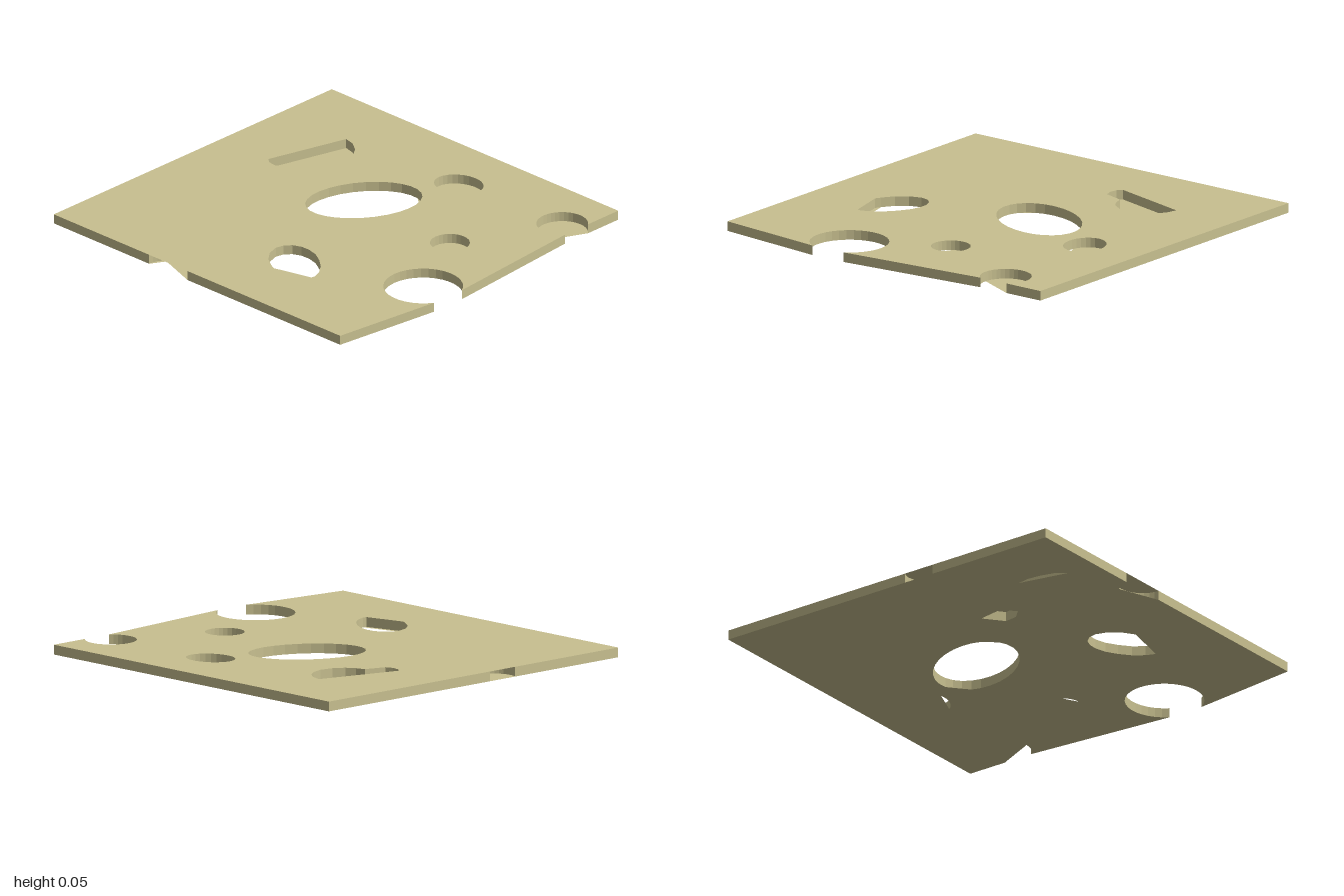
import * as THREE from 'three';

const H = 0.05; // slab thickness
const rad = THREE.MathUtils.degToRad;
const points = list => list.map(([x, z]) => new THREE.Vector2(x, z));

// Arc of a tilted ellipse in the x/z plane, angles in degrees
function arc(cx, cz, a, b, tilt, from, to, n = 28) {
  const c = Math.cos(rad(tilt)), s = Math.sin(rad(tilt));
  return Array.from({ length: n + 1 }, (_, i) => {
    const t = rad(from + (to - from) * i / n);
    const u = a * Math.cos(t), v = b * Math.sin(t);
    return new THREE.Vector2(cx + u * c - v * s, cz + u * s + v * c);
  });
}
const ring = (cx, cz, a, b, tilt) => arc(cx, cz, a, b, tilt, 0, 360).slice(0, -1);

// Flat sheet at height y with holes
function sheet(outline, holes, y) {
  const shape = new THREE.Shape(outline);
  shape.holes = holes.map(h => new THREE.Path(h));
  return new THREE.ShapeGeometry(shape).rotateX(Math.PI / 2).translate(0, y, 0);
}

// Upright wall following a closed outline
function wall(outline) {
  const pos = [];
  outline.forEach((p, i) => {
    const q = outline[(i + 1) % outline.length];
    pos.push(p.x, 0, p.y, p.x, H, p.y, q.x, H, q.y, p.x, 0, p.y, q.x, H, q.y, q.x, 0, q.y);
  });
  const g = new THREE.BufferGeometry();
  g.setAttribute('position', new THREE.Float32BufferAttribute(pos, 3));
  g.computeVertexNormals();
  return g;
}

export function createModel() {
  const group = new THREE.Group();
  group.name = 'cheeseSlice';
  const material = new THREE.MeshStandardMaterial({ color: 0xc8c090, side: THREE.DoubleSide });
  const add = (name, geometry) => {
    const mesh = new THREE.Mesh(geometry, material);
    mesh.name = name;
    group.add(mesh);
  };

  // Bites in the edges
  const backBite = arc(0.9, -0.7, 0.13, 0.13, 0, -39.7, -320.3);
  const sideBite = arc(0.9, 0.3, 0.2, 0.2, 0, -30, -330);
  const frontBite = arc(-0.2, 1, 0.134, 0.134, 0, 0, -180, 16);
  const leftBite = arc(-0.95, 0.2, 0.1, 0.1, 0, 120, -120, 18);
  const backBiteFloor = [backBite[0], ...arc(0.9, -0.7, 0.13, 0.13, 0, -270, -320.3, 6)];
  const frontBiteFloor = points([[-0.066, 1], [-0.29, 0.92], [-0.334, 1]]);
  const outline = (back, front = [], left = []) => [
    ...points([[-1, -1], [1, -1]]), ...back, ...sideBite,
    ...points([[1, 1]]), ...front, ...points([[-1, 1]]), ...left,
  ];

  // Holes open at the top
  const largeHole = ring(0, -0.2, 0.3, 0.2, -60);
  const roundHole = ring(0.215, -0.662, 0.13, 0.105, -15);
  const smallHole = ring(0.65, -0.15, 0.1, 0.1, 0);
  const frontHole = points([
    [0.22, 0.675], [0.19, 0.66], [0.13, 0.62], [0.085, 0.565], [0.065, 0.5], [0.075, 0.455],
    [0.105, 0.42], [0.15, 0.402], [0.2, 0.4], [0.26, 0.415], [0.32, 0.45], [0.375, 0.495],
    [0.415, 0.55], [0.434, 0.6], [0.43, 0.62],
  ]);
  const pocket = points([
    [-0.55, -0.64], [-0.49, -0.625], [-0.435, -0.585], [-0.4, -0.535], [-0.383, -0.47],
    [-0.395, -0.4], [-0.43, -0.345], [-0.475, -0.315], [-0.525, -0.3], [-0.56, -0.19],
    [-0.6, -0.175], [-0.645, -0.182], [-0.67, -0.205],
  ]);
  const topHoles = [largeHole, roundHole, smallHole, frontHole, pocket];

  // Cavities open only underneath
  const cavities = [
    points([[-0.595, 0.835], [-0.635, 0.78], [-0.655, 0.7], [-0.662, 0.63], [-0.65, 0.565]]),
    points([[-0.33, 0.24], [-0.34, 0.31], [-0.39, 0.36], [-0.454, 0.29], [-0.43, 0.16]]),
  ];

  // Underside openings, partly closed by the floor
  const bottomHoles = [
    largeHole.filter(p => !(p.x > 0.11 && p.x < 0.2 && p.y < -0.38) && !(p.x < -0.165 && p.y > 0)),
    arc(0.215, -0.662, 0.13, 0.105, -15, 42, 119, 8),
    arc(0.65, -0.15, 0.1, 0.1, 0, 90, 147, 6),
    [...points([[0.19, 0.66]]), ...frontHole.slice(2, 14)],
    ...cavities,
  ];

  add('topFace', sheet(outline(backBite), topHoles, H));
  add('bottomFace', sheet(outline(backBiteFloor, frontBiteFloor), bottomHoles, 0));
  add('rim', wall(outline(backBite, frontBite, leftBite)));
  [...topHoles, ...cavities].forEach(h => add('holeWall', wall(h)));
  return group;
}
